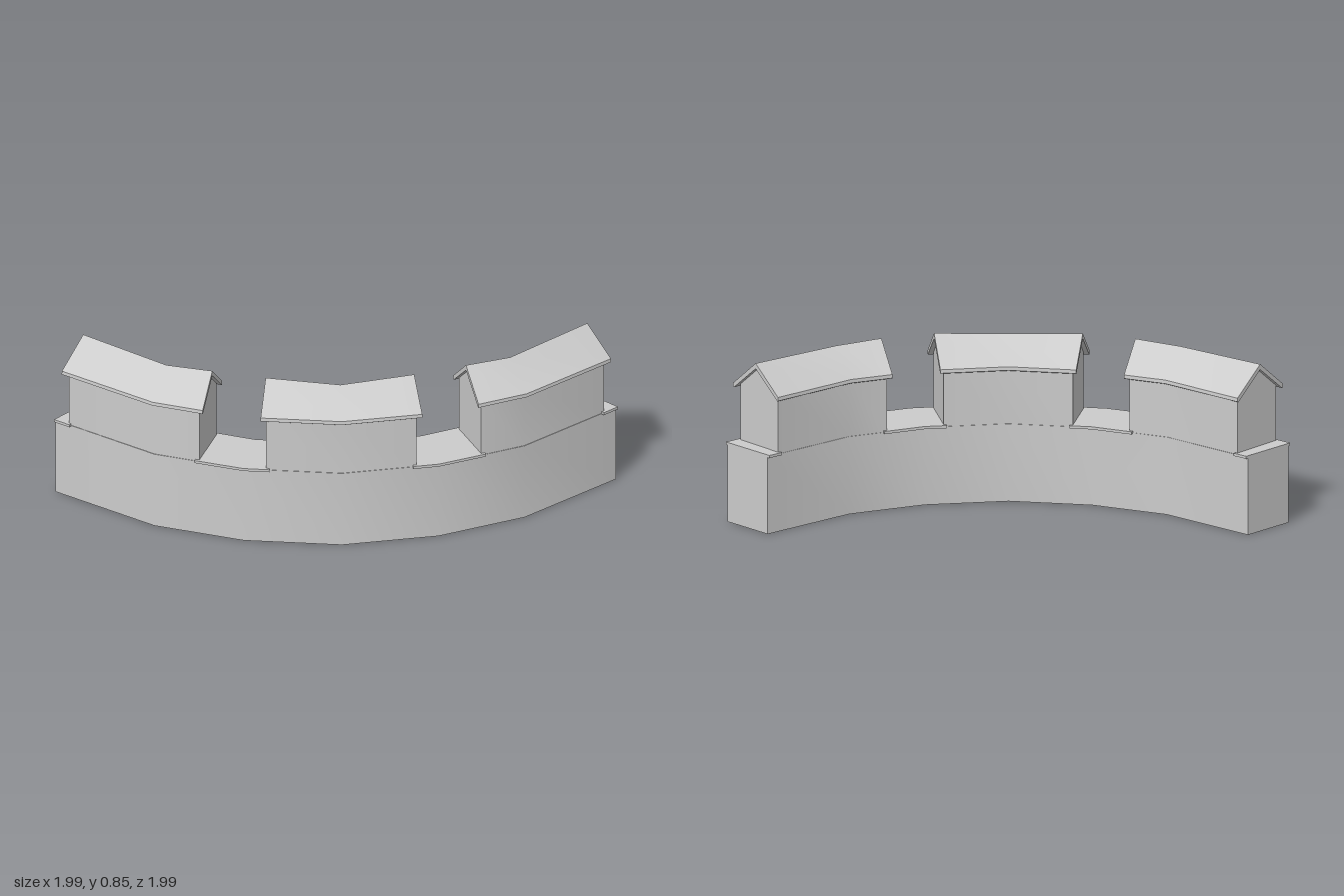
import * as THREE from 'three';
import { toCreasedNormals } from 'three/addons/utils/BufferGeometryUtils.js';

// Centre line of the quarter-round wall: [angle in degrees, radius]
const half = [[0, 1.832], [17.5, 1.855], [31, 1.863], [45, 1.873]];
const knots = [...half, ...half.slice(0, 3).reverse().map(([a, r]) => [90 - a, r])];
const sin = (deg) => Math.sin(THREE.MathUtils.degToRad(deg));
const cos = (deg) => Math.cos(THREE.MathUtils.degToRad(deg));

// Radius of the straight-sided centre line at an angle
function radiusAt(a) {
  let i = 0;
  while (i < knots.length - 2 && a > knots[i + 1][0]) i++;
  const [a0, r0] = knots[i], [a1, r1] = knots[i + 1];
  return (r0 * r1 * sin(a1 - a0)) / (r0 * sin(a - a0) + r1 * sin(a1 - a));
}

// Start and end angle plus the bends that lie between them
function anglesBetween(from, to) {
  const bends = knots.map((k) => k[0]).filter((a) => a > from + 0.1 && a < to - 0.1);
  return [from, ...bends, to];
}

// Sweep a counter-clockwise (offset, height) profile along the wall
function sweep(from, to, profileAt) {
  const angles = anglesBetween(from, to);
  const profiles = angles.map((a) => profileAt(a, a > from && a < to));
  const rings = angles.map((a, i) => profiles[i].map(([o, y]) => {
    const r = radiusAt(a) + o;
    return [0.99 - r * sin(a), y, -1 + r * cos(a)];
  }));
  const pos = [];
  const tri = (a, b, c) => pos.push(...a, ...b, ...c);
  const n = profiles[0].length;
  for (let i = 0; i < rings.length - 1; i++) {
    for (let j = 0; j < n; j++) {
      const k = (j + 1) % n;
      tri(rings[i][j], rings[i][k], rings[i + 1][k]);
      tri(rings[i][j], rings[i + 1][k], rings[i + 1][j]);
    }
  }
  // End caps
  const first = rings[0], last = rings[rings.length - 1];
  const outline = profiles[0].map(([o, y]) => new THREE.Vector2(o, y));
  for (const [a, b, c] of THREE.ShapeUtils.triangulateShape(outline, [])) {
    tri(first[a], first[c], first[b]);
    tri(last[a], last[b], last[c]);
  }
  const geometry = new THREE.BufferGeometry();
  geometry.setAttribute('position', new THREE.Float32BufferAttribute(pos, 3));
  return toCreasedNormals(geometry, 0.5);
}

const box = (w, y0, y1) => () => [[-w, y0], [w, y0], [w, y1], [-w, y1]];

export function createModel() {
  const group = new THREE.Group();
  const material = new THREE.MeshStandardMaterial({ color: 0xcccccc });
  const add = (name, geometry) => {
    const mesh = new THREE.Mesh(geometry, material);
    mesh.name = name;
    group.add(mesh);
  };

  add('lowerWall', sweep(0, 90, box(0.142, 0, 0.405)));

  // Thin ledges in the gaps and at both ends
  for (const [from, to] of [[0, 2.7], [23.7, 34.7], [55.3, 66.3], [87.3, 90]]) {
    add('ledge', sweep(from, to, box(0.154, 0.4, 0.414)));
  }

  // Raised wall blocks with gabled roofs; each ridge sags in the middle
  const blocks = [[2.3, 24.3, 0.01], [34.2, 55.8, 0.02], [65.7, 87.7, 0.01]];
  for (const [from, to, sag] of blocks) {
    add('raisedWall', sweep(from, to, (a, inner) => [
      [-0.139, 0.4], [0.139, 0.4], [0.139, 0.712], [0, 0.825 - (inner ? sag : 0)], [-0.139, 0.712],
    ]));
    add('roof', sweep(from - 0.7, to + 0.7, (a, inner) => {
      const y = 0.85 - (inner ? sag : 0);
      return [
        [0, y - 0.028], [0.158, 0.688], [0.165, 0.692], [0.163, 0.71],
        [0, y], [-0.163, 0.71], [-0.165, 0.692], [-0.158, 0.688],
      ];
    }));
  }
  return group;
}
